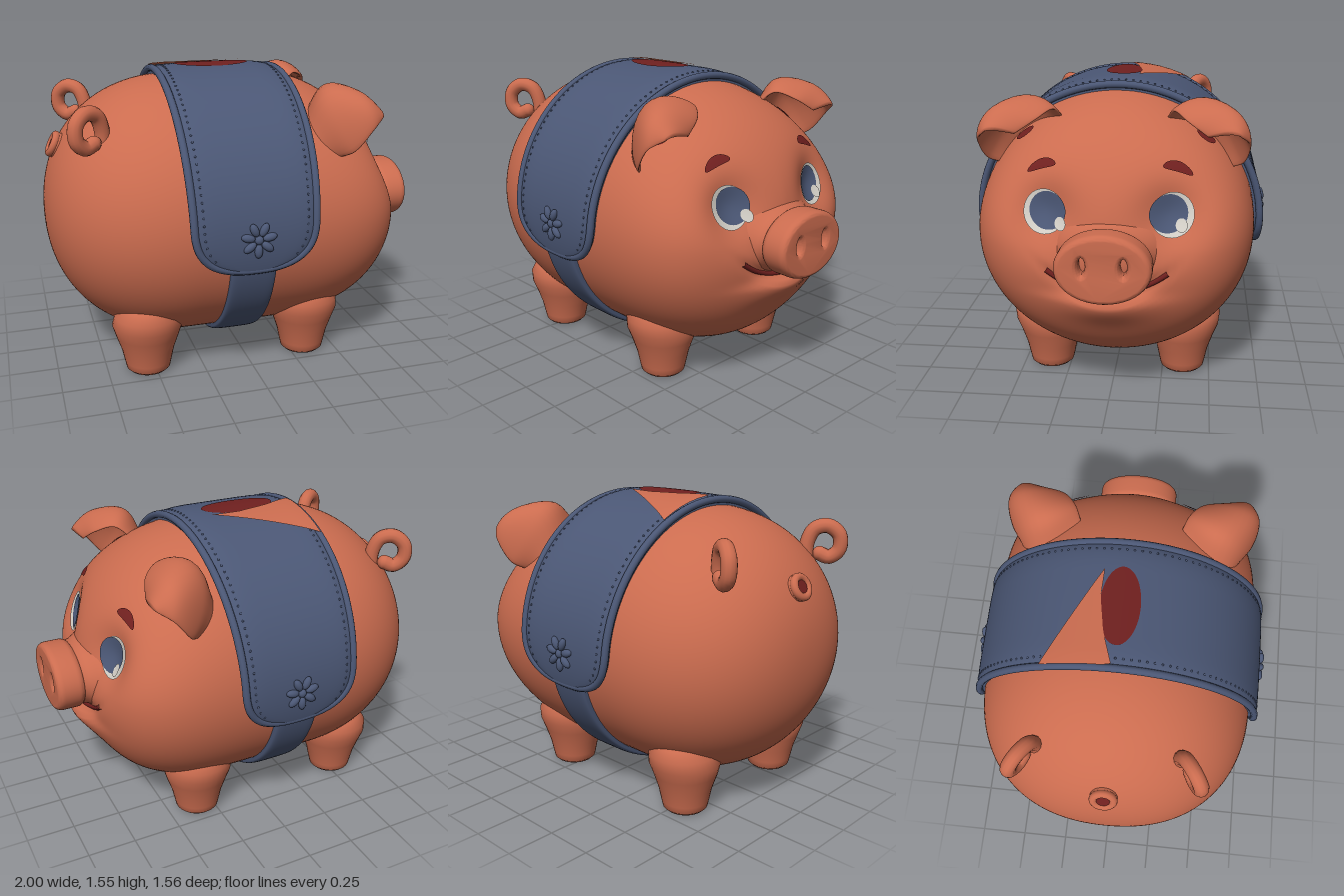
import * as THREE from 'three';
import { mergeVertices, mergeGeometries, toCreasedNormals } from 'three/addons/utils/BufferGeometryUtils.js';

const TAU = Math.PI * 2;
const material = (name, color) => {
  const m = new THREE.MeshStandardMaterial({ color, side: THREE.DoubleSide });
  m.name = name;
  return m;
};
const V = (p) => new THREE.Vector3(...p);
const gauss = (d, s) => Math.exp(-((d / s) ** 2));

// Smooth surface from a rule f(u, v) -> [x, y, z]
function loft(nu, nv, f) {
  const pos = [], idx = [];
  for (let i = 0; i <= nu; i++) for (let j = 0; j <= nv; j++) pos.push(...f(i / nu, j / nv));
  for (let i = 0; i < nu; i++) for (let j = 0; j < nv; j++) {
    const a = i * (nv + 1) + j, b = a + nv + 1;
    idx.push(a, b, a + 1, b, b + 1, a + 1);
  }
  let g = new THREE.BufferGeometry();
  g.setAttribute('position', new THREE.Float32BufferAttribute(pos, 3));
  g.setIndex(idx);
  g = mergeVertices(g, 1e-5);
  g.computeVertexNormals();
  return g;
}

function mirrorZ(geo) {
  const g = geo.index ? geo.clone() : mergeVertices(geo);
  for (const k of ['position', 'normal']) {
    const a = g.attributes[k];
    for (let i = 0; i < a.count; i++) a.setZ(i, -a.getZ(i));
  }
  const ix = g.index;
  for (let i = 0; i < ix.count; i += 3) {
    const t = ix.getX(i);
    ix.setX(i, ix.getX(i + 1));
    ix.setX(i + 1, t);
  }
  return g;
}

// Body section at x: half width, upper and lower half height around y = 0.8
const CY = 0.8;
const round = (d, p) => Math.pow(Math.max(0, 1 - Math.pow(d, p)), 1 / p);
function section(x) {
  if (x < -0.3) {
    const d = (-0.3 - x) / 0.7;
    return [0.712 * round(d, 2.3), 0.695 * round(d, 2.15), 0.69 * round(d, 2.15)];
  }
  const d = Math.max(0, (x - 0.1) / 0.74);
  return [0.712 * round(d, 3.4), 0.695 * round(d, 2.05), 0.69 * round(d, 2.6)];
}
function bodyPoint(x, a, o = 0) {
  const [w, t, b] = section(x), c = Math.cos(a);
  return [x, CY + ((c > 0 ? t : b) + o) * c, (w + o) * Math.sin(a)];
}
// Eye sockets, chin and mouth groove
const smileY = (z) => 0.603 + 1.35 * z * z;
const relief = (z, y) =>
  -0.095 * gauss(Math.hypot(Math.abs(z) - 0.3, y - 0.97), 0.15)
  + 0.065 * gauss(y - 0.56, y > 0.56 ? 0.04 : 0.11) * gauss(z, 0.22)
  - 0.03 * gauss(y - smileY(z), 0.028) * Math.exp(-((z / 0.28) ** 4));
function facePoint(z, y, o) {
  let lo = 0.1, hi = 0.84;
  for (let i = 0; i < 24; i++) {
    const x = (lo + hi) / 2, [w, t, b] = section(x);
    if (Math.hypot(z / w, (y - CY) / (y > CY ? t : b)) < 1) lo = x; else hi = x;
  }
  return [lo + relief(z, y) + o, y, z];
}
function topPoint(x, z, o) {
  return bodyPoint(x, Math.asin(z / (section(x)[0] + o)), o);
}

// Painted patch: an outline rule filled from its centre and laid on a surface
function patch(cx, cy, outline, surface, o) {
  return loft(8, 40, (k, v) => {
    const [dx, dy] = outline(v * TAU);
    return surface(cx + dx * k, cy + dy * k, o);
  });
}
const oval = (a, b) => (t) => [a * Math.cos(t), b * Math.sin(t)];

// Padded cloth band wrapped round the body
function band(angle, half, thick) {
  return loft(110, 32, (u, v) => {
    const a = angle(u), c = Math.cos(v * TAU), s = -Math.sin(v * TAU);
    const x = -0.065 + Math.sign(c) * half(a) * Math.pow(Math.abs(c), 0.4);
    return bodyPoint(x, a, -0.01 + (s > 0 ? (thick + 0.01) * Math.pow(s, 0.3) : 0));
  });
}

export function createModel() {
  const root = new THREE.Group();
  root.name = 'piggyBank';
  const clay = material('terracotta', 0xcb6c4f), cloth = material('slate blue', 0x4b5775);
  const red = material('dark red', 0x70201f), white = material('eye white', 0xd2cec6);
  const brown = material('sole brown', 0x5a352b);
  const add = (name, geo, mat) => {
    const m = new THREE.Mesh(geo, mat);
    m.name = name;
    root.add(m);
  };
  const pair = (name, geo, mat) => {
    add(name + 'Left', geo, mat);
    add(name + 'Right', mirrorZ(geo), mat);
  };

  // Body
  add('body', loft(120, 110, (u, v) => {
    const p = bodyPoint(-0.08 - 0.92 * Math.cos(u * Math.PI), -v * TAU);
    if (p[0] > 0.1) p[0] += relief(p[2], p[1]);
    return p;
  }), clay);

  // Legs: flared and leaning out into the body, with dark soles
  const legProfile = [[0.1, 0.003], [0.115, 0.014], [0.123, 0.05], [0.138, 0.12], [0.165, 0.2],
    [0.183, 0.26], [0.172, 0.32], [0.135, 0.37], [0.07, 0.42], [0, 0.45]];
  const last = legProfile.length - 1;
  for (const [name, x] of [['frontLeg', 0.33], ['backLeg', -0.535]]) {
    pair(name, loft(last, 36, (u, v) => {
      const [r, y] = legProfile[Math.round(u * last)], a = -v * TAU;
      return [x + r * Math.sin(a), y, 0.355 + 0.3 * Math.max(0, y - 0.24) + r * Math.cos(a)];
    }), clay);
    pair(name + 'Sole', new THREE.CylinderGeometry(0.102, 0.1, 0.005, 36).translate(x, 0.0025, 0.355), brown);
  }

  // Snout with hollow nostrils, and its flared neck
  const disc = new THREE.Shape().absellipse(0, 0, 0.2, 0.142, 0, TAU);
  for (const s of [-1, 1]) disc.holes.push(new THREE.Path().absellipse(s * 0.095, 0.015, 0.04, 0.064, 0, TAU));
  const snout = new THREE.ExtrudeGeometry(disc, {
    depth: 0.07, bevelThickness: 0.035, bevelSize: 0.024, bevelSegments: 6, curveSegments: 32 });
  snout.rotateY(Math.PI / 2).translate(0.895, 0.785, 0);
  add('snout', toCreasedNormals(snout, 0.7), clay);
  const neck = [[1.3, 0.74], [1.08, 0.8], [0.97, 0.835], [0.93, 0.865], [0.95, 0.905], [0.99, 0.935]];
  add('snoutNeck', loft(5, 48, (u, v) => {
    const [r, x] = neck[Math.round(u * 5)], a = -v * TAU;
    return [x, 0.785 + 0.165 * r * Math.cos(a), 0.224 * r * Math.sin(a)];
  }), clay);
  add('nostrilFloor', new THREE.SphereGeometry(1, 24, 16).scale(0.06, 0.13, 0.17).translate(0.885, 0.785, 0), clay);

  // Eyes, brows and mouth
  for (const [side, s, irisZ, glintZ] of [['Left', 1, 0.286, 0.222], ['Right', -1, -0.284, -0.345]]) {
    add('eye' + side, patch(s * 0.302, 0.978, oval(0.102, 0.103), facePoint, 0.01), white);
    add('iris' + side, patch(irisZ, 0.984, oval(0.09, 0.088), facePoint, 0.015), cloth);
    add('eyeGlint' + side, patch(glintZ, 0.93, oval(0.028, 0.03), facePoint, 0.019), white);
    add('brow' + side, patch(s * 0.322, 1.192, (t) => {
      const c = Math.cos(t);
      return [s * 0.07 * c, 0.022 * Math.sin(t) - 0.022 * c - 0.016 * c * c];
    }, facePoint, 0.01), red);
    add('earHollow' + side, patch(s * 0.45, 1.287, (t) => {
      const c = Math.cos(t), n = Math.sin(t);
      return [s * (0.045 * c + 0.007 * n), -0.032 * c + 0.009 * n];
    }, facePoint, 0.015), red);
  }
  const smile = [];
  for (let i = -8; i <= 8; i++) smile.push(V(facePoint(i * 0.036, smileY(i * 0.036), 0.002)));
  add('mouth', new THREE.TubeGeometry(new THREE.CatmullRomCurve3(smile), 64, 0.014, 8), red);

  // Floppy ears: a curved sheet through three ribs, given thickness
  const rib = (pts) => new THREE.CatmullRomCurve3(pts.map(V));
  const inner = rib([[0.41, 1.36, 0.25], [0.49, 1.42, 0.29], [0.575, 1.385, 0.36], [0.615, 1.32, 0.46]]);
  const mid = rib([[0.31, 1.27, 0.46], [0.38, 1.415, 0.49], [0.52, 1.42, 0.55], [0.64, 1.34, 0.565]]);
  const outer = rib([[0.41, 1.13, 0.57], [0.47, 1.17, 0.635], [0.56, 1.28, 0.655], [0.625, 1.325, 0.61]]);
  const sheet = (u, v) => {
    const a = inner.getPoint(v), m = mid.getPoint(v), b = outer.getPoint(v);
    return a.multiplyScalar((1 - u) * (1 - 2 * u)).addScaledVector(m, 4 * u * (1 - u)).addScaledVector(b, u * (2 * u - 1));
  };
  pair('ear', loft(28, 36, (v, w) => {
    const phi = -w * TAU, u = (1 - Math.cos(phi)) / 2, e = 0.01;
    const v0 = Math.min(v, 1 - e), u0 = Math.min(u, 1 - e), p = sheet(u0, v0);
    const n = sheet(u0 + e, v0).sub(p).cross(sheet(u0, v0 + e).sub(p)).normalize();
    return sheet(u, v).addScaledVector(n, 0.028 * Math.sin(phi) * Math.sqrt(1 - v ** 4)).toArray();
  }), clay);

  // Curled loops on the rump
  const curl = [[0.05, -0.24], [0.09, -0.12], [0.09, -0.01], [0.055, 0.06], [-0.01, 0.075], [-0.065, 0.03],
    [-0.065, -0.045], [-0.015, -0.085], [0.035, -0.07]];
  const curlPath = new THREE.CatmullRomCurve3(curl.map(([d, y], i) =>
    new THREE.Vector3(-0.8 + 0.84 * d, 1.312 + y, 0.41 - 0.54 * d + (i - 5) * 0.003)));
  pair('curl', mergeGeometries([new THREE.TubeGeometry(curlPath, 64, 0.038, 12),
    new THREE.SphereGeometry(0.038, 12, 10).translate(...curlPath.getPoint(1).toArray())]), clay);

  // Tail socket at the back
  const socket = (g) => g.rotateY(-Math.PI / 2).rotateZ(-0.45).translate(-0.935, 1.16, 0);
  add('tailSocket', socket(mergeGeometries([
    new THREE.TorusGeometry(0.05, 0.02, 12, 32),
    new THREE.CylinderGeometry(0.065, 0.075, 0.1, 32, 1, true).rotateX(Math.PI / 2).translate(0, 0, -0.05)])), clay);
  add('tailHole', socket(new THREE.CircleGeometry(0.05, 24).translate(0, 0, 0.01)), red);

  // Saddle cloth with rolled rim and stitches, and the belly belt
  const END = 1.79, THICK = 0.046;
  const half = (a) => {
    const e = Math.min(1, Math.max(0, (END - Math.abs(a)) * 0.74 / 0.24));
    return (0.3 + 0.025 * Math.max(0, Math.cos(a))) * round(1 - e, 2.5);
  };
  const sweep = (u) => END * Math.sin((u * 2 - 1) * Math.PI / 2);
  add('saddleCloth', band(sweep, half, THICK), cloth);
  const rim = [], stitches = [];
  for (const s of [1, -1]) for (let i = 0; i < 50; i++) {
    const a = s * sweep(i / 50);
    rim.push(V(bodyPoint(-0.065 + s * half(a), a, 0.03)));
  }
  add('saddleRim', new THREE.TubeGeometry(new THREE.CatmullRomCurve3(rim, true), 240, 0.019, 10, true), cloth);
  for (const s of [1, -1]) for (let i = -34; i <= 34; i++) {
    const a = i * 0.0495;
    const p = bodyPoint(-0.065 + s * Math.max(0, half(a) - 0.045), a, THICK - 0.006);
    stitches.push(new THREE.SphereGeometry(0.006, 6, 5).translate(...p));
  }
  add('stitches', mergeGeometries(stitches), cloth);
  add('bellyBelt', band((u) => 1.7 + u * (TAU - 3.4), () => 0.115, 0.032), cloth);

  // Flower badges
  const petals = [new THREE.SphereGeometry(0.022, 14, 10).scale(1, 1, 0.8)];
  for (let i = 0; i < 7; i++)
    petals.push(new THREE.SphereGeometry(1, 14, 10).scale(0.036, 0.02, 0.018).translate(0.056, 0, 0).rotateZ(i / 7 * TAU + 0.2));
  pair('flower', mergeGeometries(petals).translate(-0.06, 0.81, 0.761), cloth);

  // Coin slot and the bare triangle beside it
  add('coinSlot', patch(-0.085, -0.005, oval(0.2, 0.098), topPoint, 0.05), red);
  const chip = [[-0.385, -0.36], [-0.32, -0.325], [0.03, -0.135], [0.1, -0.095], [-0.05, -0.1], [-0.22, -0.07], [-0.385, -0.015]];
  add('bareTriangle', patch(-0.25, -0.18, (t) => {
    const f = t / TAU * chip.length, i = Math.floor(f) % chip.length, k = f - Math.floor(f);
    const p = chip[i], q = chip[(i + 1) % chip.length];
    return [p[0] + (q[0] - p[0]) * k + 0.25, p[1] + (q[1] - p[1]) * k + 0.18];
  }, topPoint, 0.054), clay);
  return root;
}
